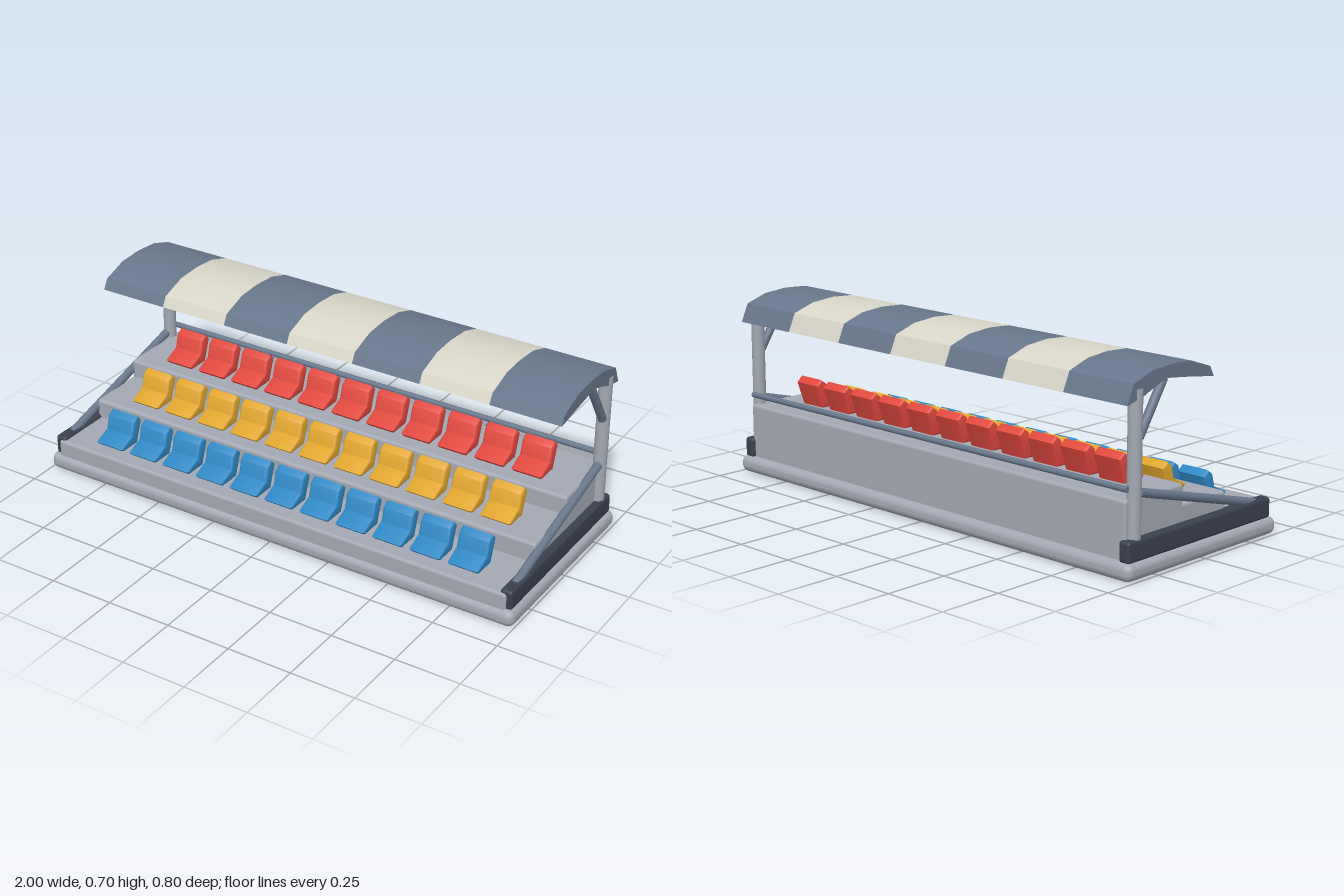
import * as THREE from 'three';
import { toCreasedNormals } from 'three/addons/utils/BufferGeometryUtils.js';
import { RoundedBoxGeometry } from 'three/addons/geometries/RoundedBoxGeometry.js';

const mat = (name, color) => {
  const m = new THREE.MeshStandardMaterial({ color });
  m.name = name;
  return m;
};

// Extrudes a side profile of [z, y] points along x, centred on x = 0
function extrudeProfile(points, width, bevel, crease) {
  const shape = new THREE.Shape(points.map(([z, y]) => new THREE.Vector2(z, y)));
  const g = new THREE.ExtrudeGeometry(shape, {
    depth: width - 2 * bevel, bevelEnabled: bevel > 0, bevelSize: bevel,
    bevelThickness: bevel, bevelOffset: -bevel, bevelSegments: 3,
  });
  g.translate(0, 0, -(width - 2 * bevel) / 2).rotateY(-Math.PI / 2);
  return toCreasedNormals(g, crease);
}

export function createModel() {
  const model = new THREE.Group();
  model.name = 'grandstand';
  const concrete = mat('light grey', 0xa3a8b3);
  const dark = mat('dark charcoal', 0x3a404e);
  const slate = mat('slate blue', 0x68778c);
  const cream = mat('cream', 0xd8d6c8);
  const red = mat('red', 0xe0483e);
  const yellow = mat('yellow', 0xe0a52e);
  const blue = mat('blue', 0x2f88c4);

  const add = (name, geometry, material, parent = model) => {
    const mesh = new THREE.Mesh(geometry, material);
    mesh.name = name;
    parent.add(mesh);
    return mesh;
  };

  // Rounded box given by its limits
  const block = (name, material, x0, x1, y0, y1, z0, z1, r) => {
    const g = new RoundedBoxGeometry(x1 - x0, y1 - y0, z1 - z0, 3, r);
    add(name, g, material).position.set((x0 + x1) / 2, (y0 + y1) / 2, (z0 + z1) / 2);
  };

  // Round bar between two points
  const bar = (name, material, a, b, r) => {
    const from = new THREE.Vector3(...a), to = new THREE.Vector3(...b);
    const dir = to.clone().sub(from);
    const mesh = add(name, new THREE.CylinderGeometry(r, r, dir.length(), 16), material);
    mesh.position.copy(from).add(to).multiplyScalar(0.5);
    mesh.quaternion.setFromUnitVectors(new THREE.Vector3(0, 1, 0), dir.normalize());
  };

  // Base and three terraces
  block('base', concrete, -1, 1, 0, 0.065, -0.4, 0.4, 0.028);
  block('lowerTerrace', concrete, -0.965, 0.965, 0.05, 0.125, -0.37, 0.385, 0.012);
  block('middleTerrace', concrete, -0.955, 0.955, 0.07, 0.2, -0.369, 0.157, 0.012);
  block('upperTerrace', concrete, -0.955, 0.955, 0.07, 0.271, -0.37, -0.07, 0.012);

  // Side curbs, posts, handrails and canopy braces
  for (const [side, s] of [['left', 1], ['right', -1]]) {
    const xs = [s * 0.938, s * 0.985].sort((a, b) => a - b);
    block(side + 'Curb', dark, xs[0], xs[1], 0.06, 0.137, -0.383, 0.377, 0.012);
    bar(side + 'Post', concrete, [s * 0.956, 0.13, -0.328], [s * 0.956, 0.64, -0.328], 0.025);
    bar(side + 'Handrail', slate, [s * 0.96, 0.125, 0.31], [s * 0.96, 0.288, -0.305], 0.016);
    bar(side + 'Brace', slate, [s * 0.96, 0.655, -0.195], [s * 0.96, 0.475, -0.312], 0.016);
  }
  bar('backRail', slate, [-0.955, 0.307, -0.358], [0.955, 0.307, -0.358], 0.011);

  // Arched canopy in alternating stripes
  const canopy = new THREE.Group();
  canopy.name = 'canopy';
  model.add(canopy);
  const stripe = 1.95 / 7;
  const arch = extrudeProfile([
    [0.05, 0.622], [-0.07, 0.64], [-0.19, 0.655], [-0.25, 0.638], [-0.31, 0.613], [-0.39, 0.595],
    [-0.36, 0.663], [-0.27, 0.692], [-0.17, 0.7], [-0.07, 0.694], [0.03, 0.66],
  ].reverse(), stripe, 0, 0.6);
  for (let i = 0; i < 7; i++) {
    add('canopyStripe', arch, i % 2 ? cream : slate, canopy).position.x = (i - 3) * stripe;
  }

  // Three rows of eleven seats
  const seat = extrudeProfile([
    [0.105, 0.014], [0.092, 0], [0.007, 0], [-0.025, 0.09], [0, 0.111], [0.025, 0.094], [0.04, 0.043],
  ], 0.122, 0.009, 0.7);
  [blue, yellow, red].forEach((colour, row) => {
    const group = new THREE.Group();
    group.name = ['lowerSeats', 'middleSeats', 'upperSeats'][row];
    group.position.set(0, 0.121 + row * 0.075, 0.226 - row * 0.2255);
    model.add(group);
    for (let i = -5; i <= 5; i++) add('seat', seat, colour, group).position.x = i * 0.153;
  });
  return model;
}
